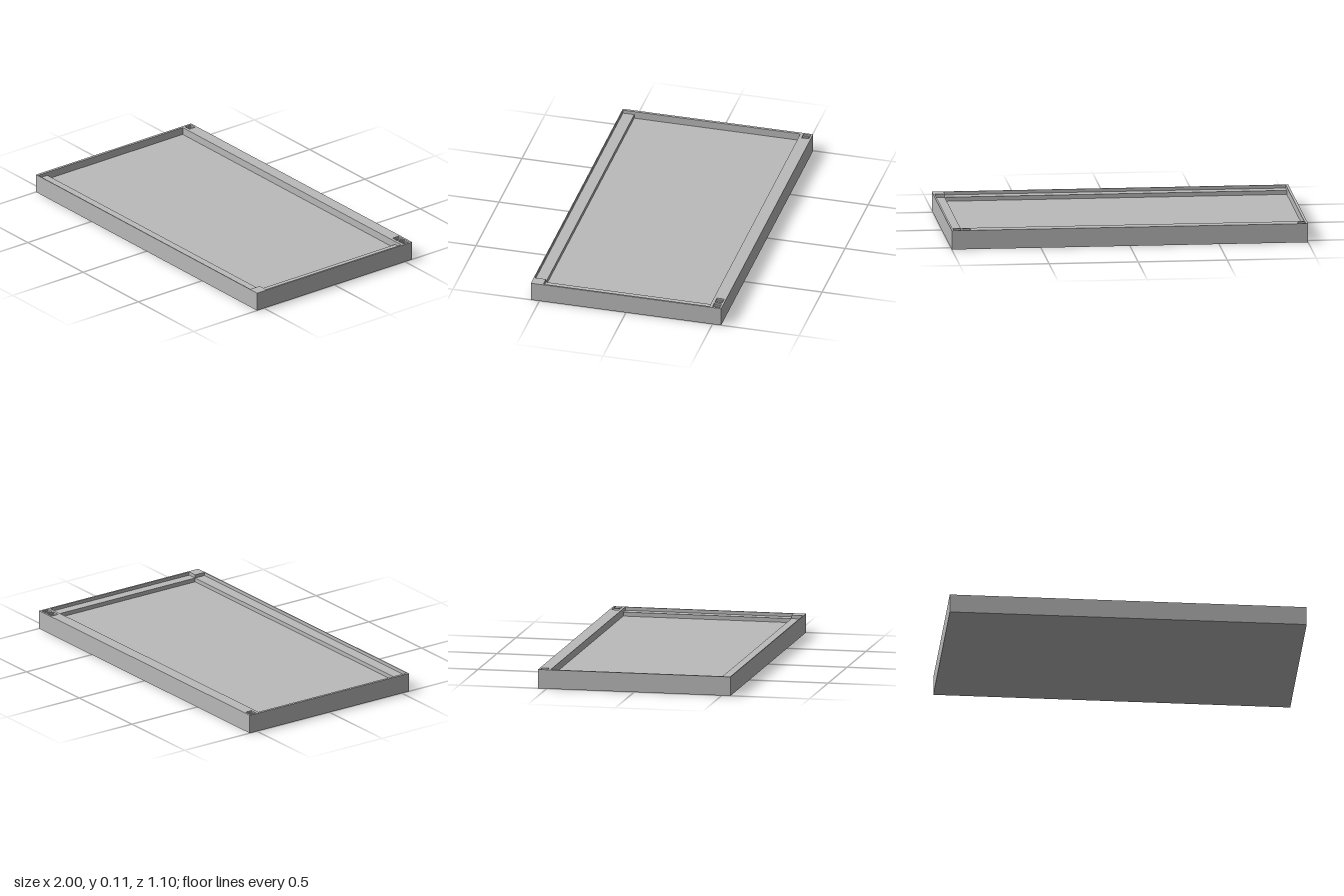
import * as THREE from 'three';

const X = 1, Z = 0.55;
const FLOOR = 0.065, LEDGE = 0.088, STEP = 0.097, TOP = 0.107;

const rect = (x0, z0, x1, z1) => [[x0, z0], [x1, z0], [x1, z1], [x0, z1]];
const square = (x, z, size) => rect(x - size / 2, z - size / 2, x + size / 2, z + size / 2);
const toPoints = (list) => list.map(([x, z]) => new THREE.Vector2(x, z));

export function createModel() {
  const group = new THREE.Group();
  const grey = new THREE.MeshStandardMaterial({ color: 0xbababa });
  grey.name = 'grey';

  // One horizontal slab of the tray, with openings cut through it
  function layer(name, y0, y1, holes) {
    const shape = new THREE.Shape(toPoints(rect(-X, -Z, X, Z)));
    for (const h of holes) shape.holes.push(new THREE.Path(toPoints(h)));
    const geometry = new THREE.ExtrudeGeometry(shape, { depth: y1 - y0, bevelEnabled: false });
    geometry.rotateX(Math.PI / 2);
    const mesh = new THREE.Mesh(geometry, grey);
    mesh.name = name;
    mesh.position.y = y1;
    group.add(mesh);
  }

  // Main recess, and the wider one that leaves ledges at the front and +x side
  const recess = rect(-0.985, -0.48, 0.935, 0.48);
  const wideRecess = [
    [-0.985, -0.48], [0.99, -0.48], [0.99, 0.48],
    [0.935, 0.48], [0.935, 0.545], [-0.985, 0.545],
  ];
  // Small stepped square sockets in the back rail
  const sockets = (size) => [-0.967, 0.913, 0.967].map((x) => square(x, -0.518, size));

  layer('floor', 0, FLOOR, []);
  layer('ledge', FLOOR, LEDGE, [recess]);
  layer('lowerRim', LEDGE, STEP, [wideRecess, ...sockets(0.03)]);
  layer('upperRim', STEP, TOP, [wideRecess, ...sockets(0.042)]);

  return group;
}
